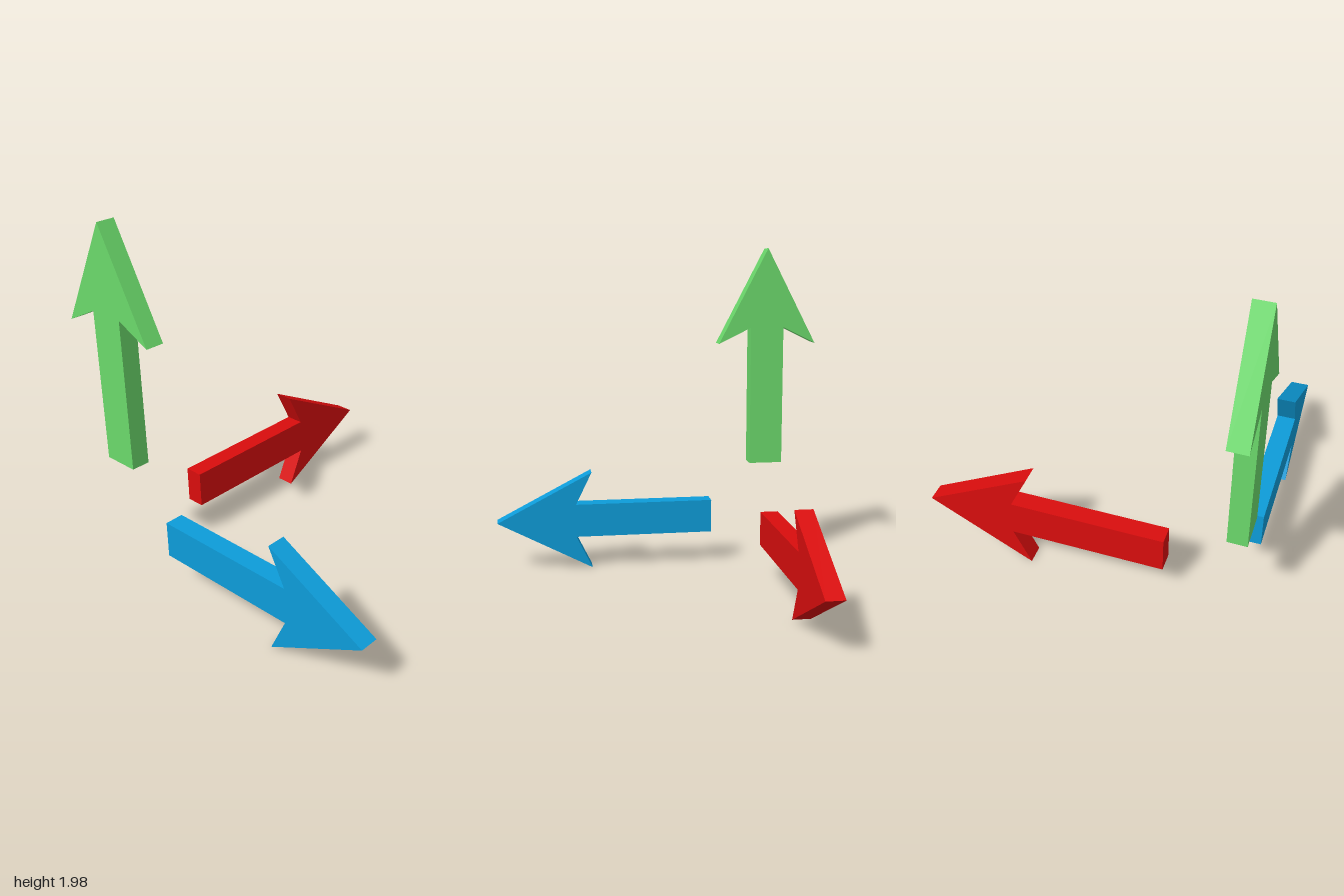
import * as THREE from 'three';

const X = new THREE.Vector3(1, 0, 0);
const Y = new THREE.Vector3(0, 1, 0);
const Z = new THREE.Vector3(0, 0, 1);

// Flat block arrow starting at its tail and pointing along local +x
function arrowGeometry() {
  const half = [[0, 0.103], [0.857, 0.103], [0.758, 0.305]];
  const lower = half.map(([x, y]) => new THREE.Vector2(x, -y));
  const upper = half.map(([x, y]) => new THREE.Vector2(x, y)).reverse();
  const shape = new THREE.Shape([...lower, new THREE.Vector2(1.343, 0), ...upper]);
  const depth = 0.105;
  return new THREE.ExtrudeGeometry(shape, { depth, bevelEnabled: false })
    .translate(0, 0, -depth / 2);
}

// Arrow whose length, width and thickness run along the given axes
function makeArrow(name, color, tail, length, width, thickness) {
  const geometry = arrowGeometry()
    .applyMatrix4(new THREE.Matrix4().makeBasis(length, width, thickness));
  const mesh = new THREE.Mesh(geometry, new THREE.MeshStandardMaterial({ color }));
  mesh.name = name;
  mesh.position.set(...tail);
  return mesh;
}

export function createModel() {
  const model = new THREE.Group();
  model.name = 'axisArrows';
  model.add(
    makeArrow('sidewaysArrow', 0xd90d0d, [-0.447, 0.31, -0.633], X, Y, Z),
    makeArrow('upwardArrow', 0x6bd96b, [-0.847, 0.645, -0.692], Y, Z, X),
    makeArrow('forwardArrow', 0x0d9cd9, [-0.847, 0.31, -0.343], Z, Y, X.clone().negate()),
  );
  return model;
}
